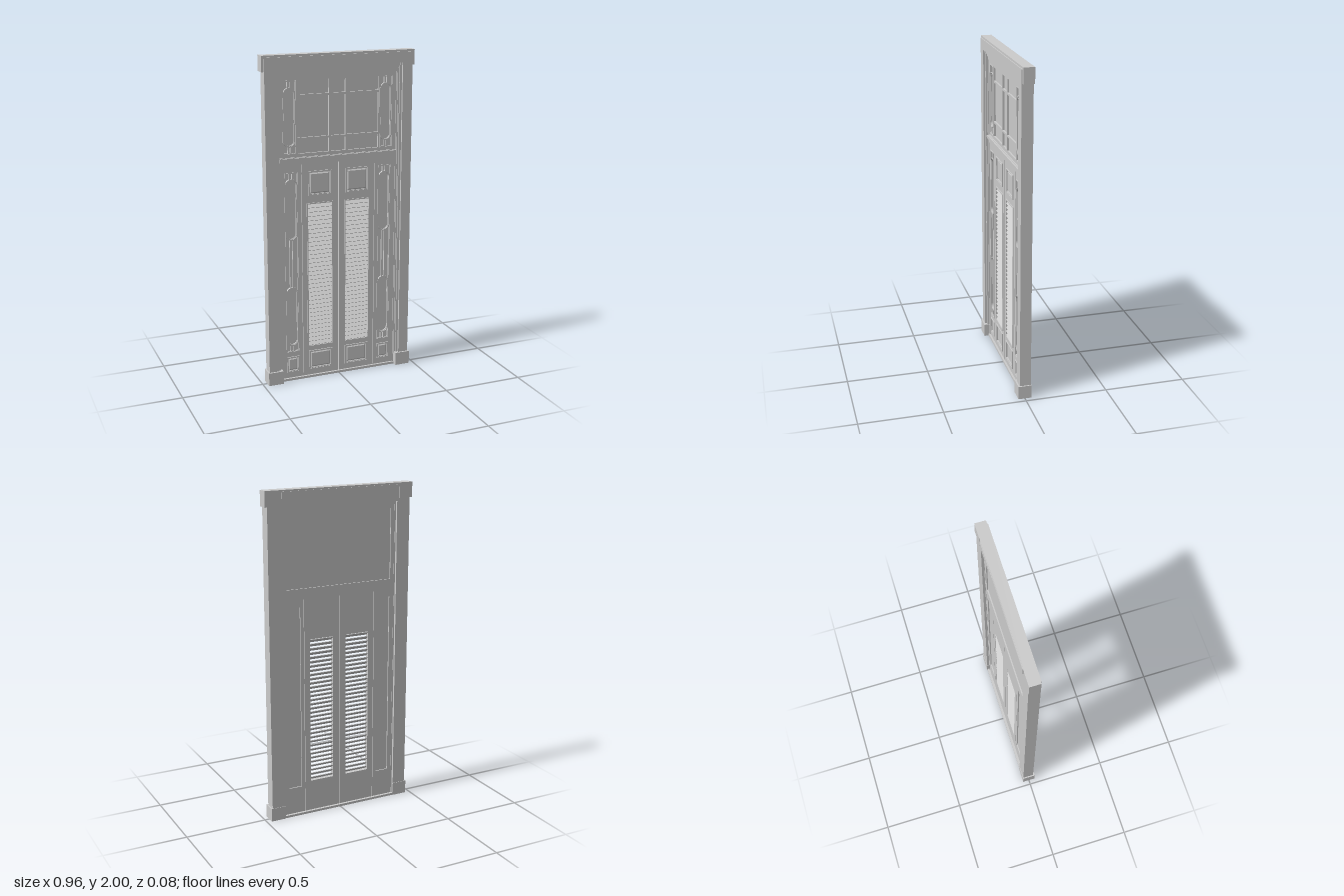
import * as THREE from 'three';

const grey = new THREE.MeshStandardMaterial({ color: 0xcccccc, flatShading: true });

// Rectangle given as [x0, x1, y0, y1]
function rectPath([x0, x1, y0, y1], Type = THREE.Shape) {
  const p = new Type();
  p.moveTo(x0, y0); p.lineTo(x1, y0); p.lineTo(x1, y1); p.lineTo(x0, y1);
  p.closePath();
  return p;
}

// Upright slot outline with round ends
function slotPath(cx, y0, y1, r, Type = THREE.Shape) {
  const p = new Type();
  p.absarc(cx, y1 - r, r, 0, Math.PI, false);
  p.absarc(cx, y0 + r, r, Math.PI, 2 * Math.PI, false);
  p.closePath();
  return p;
}

function addMesh(parent, name, geometry) {
  const m = new THREE.Mesh(geometry, grey);
  m.name = name;
  parent.add(m);
  return m;
}

function extrude(parent, name, shape, z0, z1) {
  const g = new THREE.ExtrudeGeometry(shape, { depth: z1 - z0, bevelEnabled: false, curveSegments: 10 });
  g.translate(0, 0, z0);
  return addMesh(parent, name, g);
}

function slab(parent, name, rect, z0, z1, holes = []) {
  const shape = rectPath(rect);
  shape.holes = holes.map((h) => rectPath(h, THREE.Path));
  return extrude(parent, name, shape, z0, z1);
}

const inset = ([a, b, c, d], t) => [a + t, b - t, c + t, d - t];

// Two-step rectangular moulding around an opening
function moulding(parent, name, rect, z, t = 0.006) {
  slab(parent, name, rect, z - 0.006, z + 0.006, [inset(rect, t)]);
  slab(parent, name + 'Step', inset(rect, t), z - 0.006, z + 0.002, [inset(rect, t * 1.8)]);
}

// Sunk field with a raised, bevelled centre
function fieldedPanel(parent, name, rect) {
  moulding(parent, name + 'Moulding', rect, 0);
  const [x0, x1, y0, y1] = inset(rect, 0.02);
  const g = new THREE.ExtrudeGeometry(rectPath([x0, x1, y0, y1]), {
    depth: 0.002, bevelEnabled: true, bevelThickness: 0.005, bevelSize: 0.007, bevelSegments: 1,
  });
  g.translate(0, 0, -0.008);
  addMesh(parent, name, g);
}

// Slot-shaped tracery ring, with a thinner inner lip
function slotRing(parent, cx, y0, y1, r) {
  [[0, 0.006, 0.002], [0.006, 0.009, -0.003]].forEach(([a, b, z]) => {
    const s = slotPath(cx, y0 + a, y1 - a, r - a);
    s.holes.push(slotPath(cx, y0 + b, y1 - b, r - b, THREE.Path));
    extrude(parent, 'traceryRing', s, -0.012, z);
  });
}

const BACK = -0.022, GLASS = -0.011;

// Outer surround: casing, stepped linings, corner blocks, plinths, sill
function buildSurround() {
  const g = new THREE.Group();
  g.name = 'surround';
  // Upside-down U: outer half width and top, inner half width and top
  const portal = (name, ox, oy, ix, iy, z0, z1) => {
    const s = new THREE.Shape();
    [[-ox, 0], [-ix, 0], [-ix, iy], [ix, iy], [ix, 0], [ox, 0], [ox, oy], [-ox, oy]]
      .forEach(([x, y], i) => (i ? s.lineTo(x, y) : s.moveTo(x, y)));
    s.closePath();
    extrude(g, name, s, z0, z1);
  };
  portal('casing', 0.463, 1.988, 0.4, 1.925, -0.038, 0.03);
  portal('outerLining', 0.4, 1.925, 0.386, 1.907, -0.038, 0.018);
  portal('middleLining', 0.386, 1.907, 0.378, 1.892, -0.038, 0.011);
  portal('innerLining', 0.378, 1.892, 0.37, 1.872, -0.024, 0.005);
  slab(g, 'lintelCap', [-0.39, 0.39, 1.985, 2], -0.04, 0.024);
  slab(g, 'lintelBackStrip', [-0.375, 0.375, 1.925, 1.99], -0.043, -0.036);
  slab(g, 'sill', [-0.4, 0.4, 0, 0.014], -0.038, 0.012);
  for (const s of [-1, 1]) {
    const span = (a, b) => (s > 0 ? [a, b] : [-b, -a]);
    slab(g, 'cornerBlock', [...span(0.39, 0.478), 1.908, 2], -0.041, 0.024);
    slab(g, 'plinthBlock', [...span(0.377, 0.471), 0, 0.082], -0.041, 0.04);
  }
  return g;
}

// Upper window with glazing bars and slot tracery at both ends
function buildTransom() {
  const g = new THREE.Group();
  g.name = 'transom';
  const open = [-0.346, 0.346, 1.42, 1.848];
  slab(g, 'transomFrame', [-0.372, 0.372, 1.395, 1.875], BACK, 0, [open]);
  slab(g, 'transomGlass', open, GLASS - 0.004, GLASS);
  const bar = (r) => slab(g, 'glazingBar', r, GLASS, 0);
  for (const x of [-0.262, -0.055, 0.05, 0.262]) bar([x - 0.006, x + 0.006, 1.42, 1.848]);
  for (const y of [1.508, 1.76]) bar([-0.262, 0.262, y - 0.006, y + 0.006]);
  for (const s of [-1, 1]) {
    const cx = 0.306 * s;
    slotRing(g, cx, 1.46, 1.808, 0.037);
    for (const [a, b] of [[1.42, 1.462], [1.806, 1.848]])
      for (const d of [-0.008, 0.008]) bar([cx + d - 0.004, cx + d + 0.004, a, b]);
    moulding(g, 'tracerySurround', [cx - 0.042, cx + 0.042, 1.418, 1.85], -0.003, 0.004);
  }
  // Stepped rail between the transom and the doors
  slab(g, 'transomRail', [-0.372, 0.372, 1.355, 1.4], BACK, 0.008);
  slab(g, 'transomRailMoulding', [-0.372, 0.372, 1.382, 1.397], 0.008, 0.018);
  slab(g, 'transomRailBead', [-0.372, 0.372, 1.373, 1.382], 0.008, 0.013);
  return g;
}

// Narrow fixed light beside the doors
function buildSidelight() {
  const g = new THREE.Group();
  g.name = 'sidelight';
  const cx = 0.3, open = [0.258, 0.342, 0.182, 1.31];
  slab(g, 'sidelightFrame', [0.236, 0.372, 0.014, 1.356], BACK, 0, [open, [0.262, 0.34, 0.052, 0.15]]);
  slab(g, 'sidelightGlass', open, GLASS - 0.004, GLASS);
  slab(g, 'lowerPanelBack', [0.262, 0.34, 0.052, 0.15], BACK, -0.008);
  moulding(g, 'sidelightMoulding', open, -0.002, 0.004);
  fieldedPanel(g, 'lowerPanel', [0.26, 0.342, 0.05, 0.152]);
  slotRing(g, cx, 0.895, 1.27, 0.038);
  slotRing(g, cx, 0.222, 0.6, 0.038);
  for (const [a, b] of [[0.182, 0.224], [0.598, 0.897], [1.268, 1.31]])
    for (const d of [-0.009, 0.009])
      slab(g, 'traceryBar', [cx + d - 0.004, cx + d + 0.004, a, b], GLASS, 0);
  return g;
}

// Louvred door leaf with panels above and below
function buildDoor() {
  const g = new THREE.Group();
  g.name = 'louvredDoor';
  const louvre = [0.036, 0.204, 0.2, 1.116];
  const top = [0.045, 0.195, 1.16, 1.31], bottom = [0.042, 0.196, 0.05, 0.174];
  slab(g, 'doorLeaf', [0.002, 0.233, 0.014, 1.355], BACK, 0, [louvre, top, bottom]);
  for (const [name, r] of [['topPanel', top], ['bottomPanel', bottom]]) {
    slab(g, name + 'Back', r, BACK, -0.008);
    fieldedPanel(g, name, r);
  }
  slab(g, 'louvreFrame', louvre, BACK, 0.005, [inset(louvre, 0.007)]);
  // Slats slope down towards the front
  const n = 34, pitch = (louvre[3] - louvre[2] - 0.014) / n;
  const slat = new THREE.BoxGeometry(0.156, 0.004, 0.03);
  for (let i = 0; i < n; i++) {
    const m = addMesh(g, 'slat', slat);
    m.position.set(0.12, louvre[2] + 0.007 + (i + 0.5) * pitch, -0.009);
    m.rotation.x = 0.75;
  }
  return g;
}

// Mirrored copy that keeps face order correct
function mirrored(group) {
  const copy = group.clone();
  copy.scale.x = -1;
  return copy;
}

export function createModel() {
  const model = new THREE.Group();
  model.name = 'doorway';
  model.add(buildSurround(), buildTransom());
  for (const half of [buildSidelight(), buildDoor()]) model.add(half, mirrored(half));
  return model;
}
